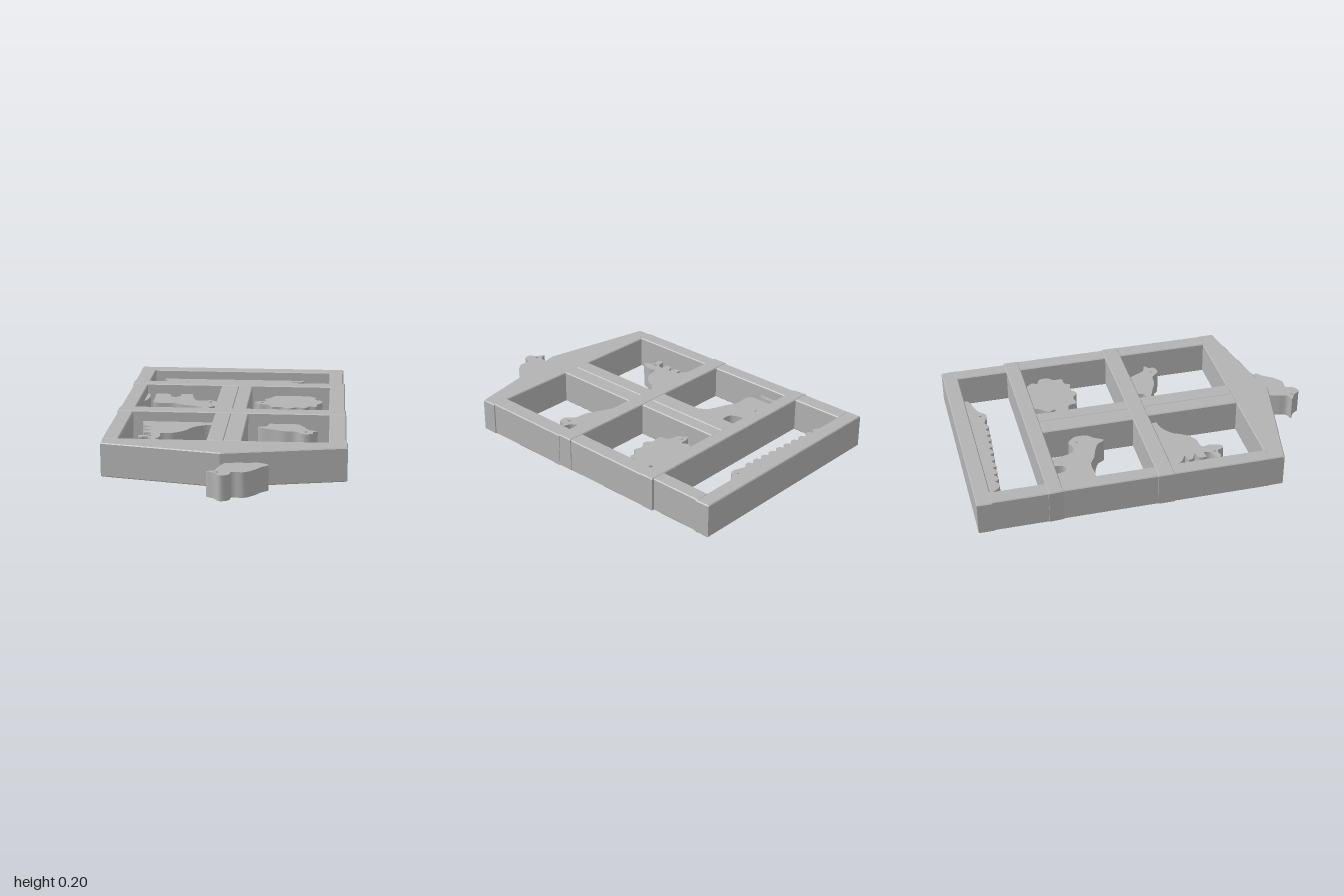
import * as THREE from 'three';
import { toCreasedNormals } from 'three/addons/utils/BufferGeometryUtils.js';

const grey = new THREE.MeshStandardMaterial({ color: 0xb3b3b3 });
grey.name = 'plain grey';

// Plan outlines are [x, z] pairs, extruded upward from y0 to y1
function slab(name, outline, y0, y1, smooth = false) {
  const pts = outline.map(([x, z]) => new THREE.Vector2(x, z));
  const shape = new THREE.Shape();
  if (smooth) {
    const curve = new THREE.CatmullRomCurve3(
      pts.map((p) => new THREE.Vector3(p.x, p.y, 0)), true, 'centripetal');
    shape.setFromPoints(curve.getPoints(pts.length * 5).slice(0, -1).map((p) => new THREE.Vector2(p.x, p.y)));
  } else {
    shape.setFromPoints(pts);
  }
  const bevel = smooth ? 0 : 0.005;
  let geo = new THREE.ExtrudeGeometry(shape, {
    depth: y1 - y0 - 2 * bevel, bevelEnabled: !smooth,
    bevelSize: bevel, bevelThickness: bevel, bevelOffset: -bevel, bevelSegments: 1,
  });
  geo.rotateX(Math.PI / 2).translate(0, y1 - bevel, 0);
  if (smooth) geo = toCreasedNormals(geo, 0.6);
  const mesh = new THREE.Mesh(geo, grey);
  mesh.name = name;
  return mesh;
}

const rect = (x0, x1, z0, z1) => [[x0, z0], [x1, z0], [x1, z1], [x0, z1]];

// Flat animal cut-out with a thin eye disc on top
function animal(name, outline, eye) {
  const group = new THREE.Group();
  group.name = name;
  group.add(slab(name + 'Body', outline, 0.005, 0.14, true));
  const disc = new THREE.Mesh(new THREE.CylinderGeometry(0.009, 0.009, 0.006, 12), grey);
  disc.name = name + 'Eye';
  disc.position.set(eye[0], 0.142, eye[1]);
  group.add(disc);
  return group;
}

export function createModel() {
  const model = new THREE.Group();
  model.name = 'animalFrame';

  // Frame bars, back to front
  const bars = [
    ['backBar', [[-0.65, -0.985], [0.625, -0.995], [0.628, -0.91], [-0.65, -0.9]], 0.195],
    ['upperCrossBar', [[-0.65, -0.61], [0.635, -0.625], [0.635, -0.54], [-0.645, -0.53]], 0.2],
    ['middleCrossBar', [[-0.645, -0.02], [0.64, -0.03], [0.64, 0.065], [-0.645, 0.07]], 0.2],
    ['frontBar', [[-0.637, 0.59], [0.65, 0.578], [0.65, 0.665], [0, 0.805], [-0.637, 0.68]], 0.195],
  ];
  for (const [name, outline, top] of bars) model.add(slab(name, outline, 0.01, top));

  // Side rails and centre posts of each bay
  const rails = [
    ['backRightRail', -0.645, -0.555, -0.91, -0.6],
    ['backLeftRail', 0.54, 0.622, -0.92, -0.61],
    ['middleRightRail', -0.64, -0.555, -0.54, -0.01],
    ['middleLeftRail', 0.545, 0.635, -0.55, -0.02],
    ['frontRightRail', -0.64, -0.555, 0.06, 0.6],
    ['frontLeftRail', 0.55, 0.643, 0.055, 0.59],
    ['backPostRight', -0.105, 0, -0.54, -0.01],
    ['backPostLeft', 0, 0.08, -0.54, -0.01],
    ['frontPostRight', -0.09, 0, 0.06, 0.59],
    ['frontPostLeft', 0, 0.095, 0.06, 0.59],
  ];
  for (const [name, ...box] of rails) model.add(slab(name, rect(...box), 0.01, 0.197));

  // Long scaly reptile along the back bar
  const reptile = [[0.38, -0.92], [0.375, -0.88], [0.3, -0.855], [0.25, -0.83], [0.22, -0.8], [0.16, -0.815]];
  for (let i = 0; i < 10; i++) {
    const x = 0.11 - i * 0.06, z = -0.803 - i * 0.0032;
    reptile.push([x + 0.028, z - 0.018], [x, z], [x - 0.022, z - 0.004]);
  }
  reptile.push([-0.48, -0.865], [-0.495, -0.92]);
  model.add(animal('reptile', reptile, [0.215, -0.835]));

  // Cow with an arched gap at its legs, and its tail on the rail
  model.add(animal('cow', [
    [-0.495, -0.55], [-0.42, -0.55], [-0.415, -0.51], [-0.405, -0.475], [-0.385, -0.463], [-0.36, -0.475],
    [-0.35, -0.51], [-0.35, -0.55], [-0.285, -0.55], [-0.28, -0.52], [-0.265, -0.44], [-0.24, -0.395],
    [-0.195, -0.39], [-0.165, -0.405], [-0.13, -0.385], [-0.112, -0.35], [-0.117, -0.29], [-0.145, -0.26],
    [-0.18, -0.21], [-0.21, -0.25], [-0.26, -0.275], [-0.32, -0.295], [-0.375, -0.325], [-0.49, -0.33],
    [-0.5, -0.43]], [-0.16, -0.36]));
  model.add(slab('cowTail', [[-0.57, -0.54], [-0.545, -0.53], [-0.533, -0.45], [-0.54, -0.39],
    [-0.553, -0.365], [-0.57, -0.37]], 0.005, 0.14, true));

  // Sheep with a scalloped fleece
  model.add(animal('sheep', [
    [0.1, -0.385], [0.13, -0.405], [0.175, -0.41], [0.16, -0.45], [0.19, -0.485], [0.225, -0.535],
    [0.3, -0.55], [0.4, -0.55], [0.44, -0.525], [0.468, -0.49], [0.46, -0.46], [0.497, -0.44],
    [0.5, -0.39], [0.475, -0.36], [0.47, -0.31], [0.425, -0.305], [0.405, -0.275], [0.355, -0.285],
    [0.31, -0.257], [0.265, -0.285], [0.21, -0.28], [0.195, -0.325], [0.13, -0.345], [0.12, -0.37]],
  [0.145, -0.378]));

  // Hen with a comb
  model.add(animal('hen', [
    [-0.495, 0.05], [-0.08, 0.05], [-0.08, 0.11], [-0.14, 0.125], [-0.205, 0.17], [-0.245, 0.24],
    [-0.3, 0.285], [-0.37, 0.3], [-0.365, 0.345], [-0.385, 0.405], [-0.405, 0.41], [-0.43, 0.37],
    [-0.48, 0.375], [-0.485, 0.345], [-0.435, 0.33], [-0.425, 0.295], [-0.465, 0.295], [-0.465, 0.26],
    [-0.425, 0.24], [-0.465, 0.22], [-0.47, 0.195], [-0.43, 0.185], [-0.48, 0.15], [-0.49, 0.11]],
  [-0.425, 0.352]));

  // Small bird in the front bay
  model.add(animal('smallBird', [
    [0.153, 0.135], [0.2, 0.12], [0.225, 0.05], [0.36, 0.05], [0.405, 0.11], [0.44, 0.175],
    [0.487, 0.195], [0.462, 0.215], [0.46, 0.245], [0.41, 0.257], [0.365, 0.215], [0.3, 0.208],
    [0.235, 0.18], [0.175, 0.155]], [0.42, 0.215]));

  // Bird perched on the outside of the front bar
  model.add(animal('perchedBird', [
    [-0.058, 0.935], [-0.02, 0.92], [-0.005, 0.87], [0.025, 0.8], [0.08, 0.78], [0.145, 0.79],
    [0.18, 0.775], [0.25, 0.813], [0.215, 0.85], [0.18, 0.9], [0.13, 0.94], [0.07, 0.94],
    [0.06, 0.98], [0.015, 1.0], [-0.018, 0.96]], [-0.005, 0.948]));

  return model;
}
